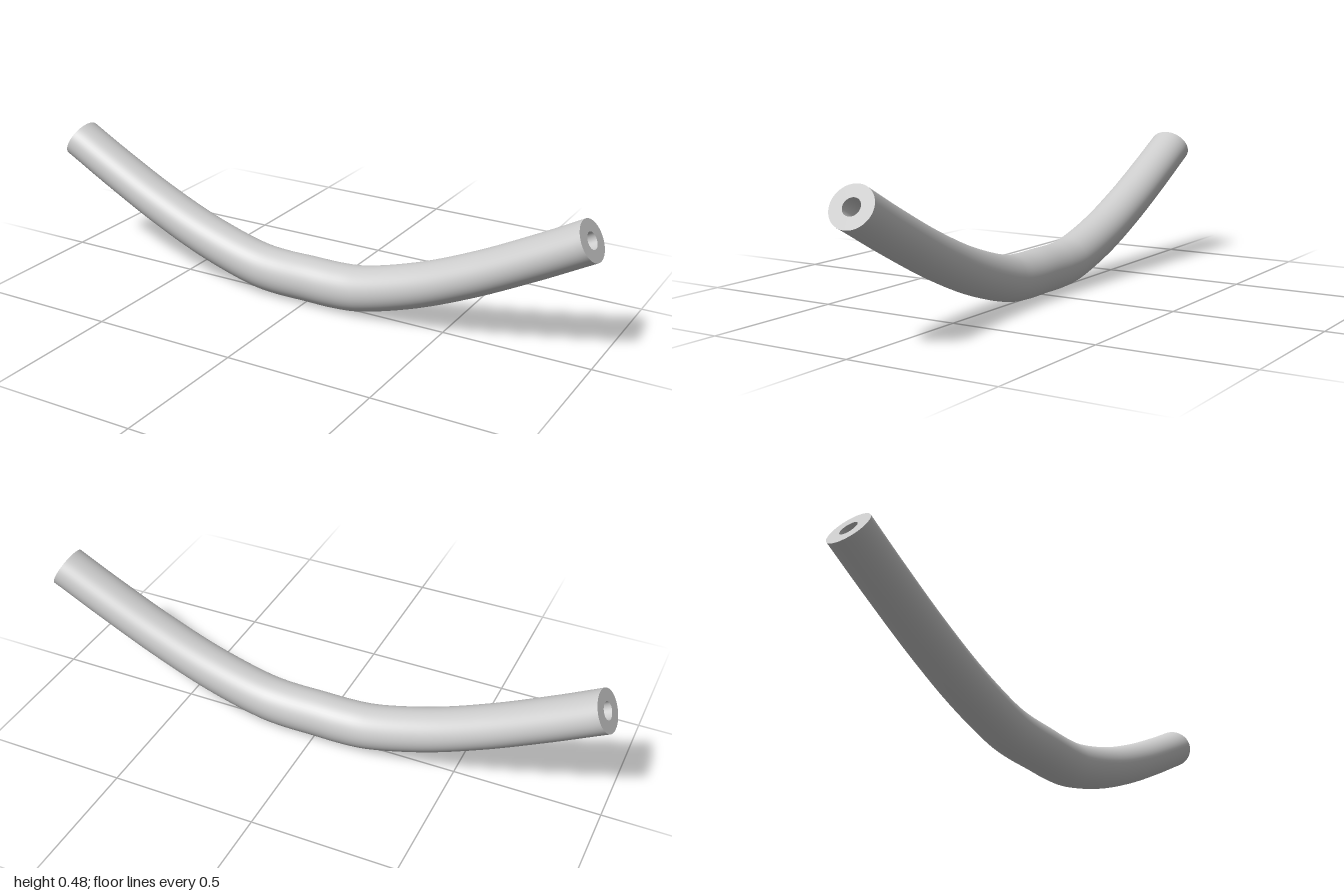
import * as THREE from 'three';

const SIDES = 48, STEPS = 72;

// Right half of the centre line: x, y, z
const half = [
  [0.11, 0.079, 0.003], [0.2, 0.088, 0.003], [0.4, 0.145, 0.002],
  [0.6, 0.228, 0.001], [0.8, 0.328, -0.001], [0.967, 0.418, -0.003],
];
const mirrored = half.map(([x, y, z]) => [-x, y, z]).reverse();
const path = new THREE.CatmullRomCurve3(
  [...mirrored, [0, 0.079, 0.003], ...half].map((p) => new THREE.Vector3(...p)));

// Elliptical section square to the path, flattened where the path is steep
function ring(t, radius) {
  const p = path.getPoint(t);
  const d = path.getTangent(t).setZ(0).normalize();
  const h = radius * d.x;
  return Array.from({ length: SIDES }, (_, j) => {
    const a = (j / SIDES) * Math.PI * 2;
    return new THREE.Vector3(
      p.x - d.y * h * Math.cos(a),
      p.y + d.x * h * Math.cos(a),
      p.z + radius * Math.sin(a));
  });
}

// Skin a list of rings, closed around the section
function loft(rings) {
  const index = [];
  for (let i = 0; i < rings.length - 1; i++) {
    for (let j = 0; j < SIDES; j++) {
      const k = (j + 1) % SIDES;
      const a = i * SIDES + j, b = a + SIDES, c = i * SIDES + k, d = c + SIDES;
      index.push(a, c, b, c, d, b);
    }
  }
  const geometry = new THREE.BufferGeometry().setFromPoints(rings.flat());
  geometry.setIndex(index);
  geometry.computeVertexNormals();
  return geometry;
}

export function createModel() {
  const group = new THREE.Group();
  group.name = 'bentTube';
  const material = new THREE.MeshStandardMaterial({ color: 0xcccccc });
  const add = (name, rings) => {
    const mesh = new THREE.Mesh(loft(rings), material);
    mesh.name = name;
    group.add(mesh);
  };

  const along = (radius) =>
    Array.from({ length: STEPS + 1 }, (_, i) => ring(i / STEPS, radius));
  const outer = along(0.078);
  const bore = along(0.032).reverse();

  // Outer wall, through bore and the flat annular ends
  add('outerWall', outer);
  add('bore', bore);
  add('leftEnd', [outer[STEPS], bore[0]]);
  add('rightEnd', [bore[STEPS], outer[0]]);
  return group;
}
